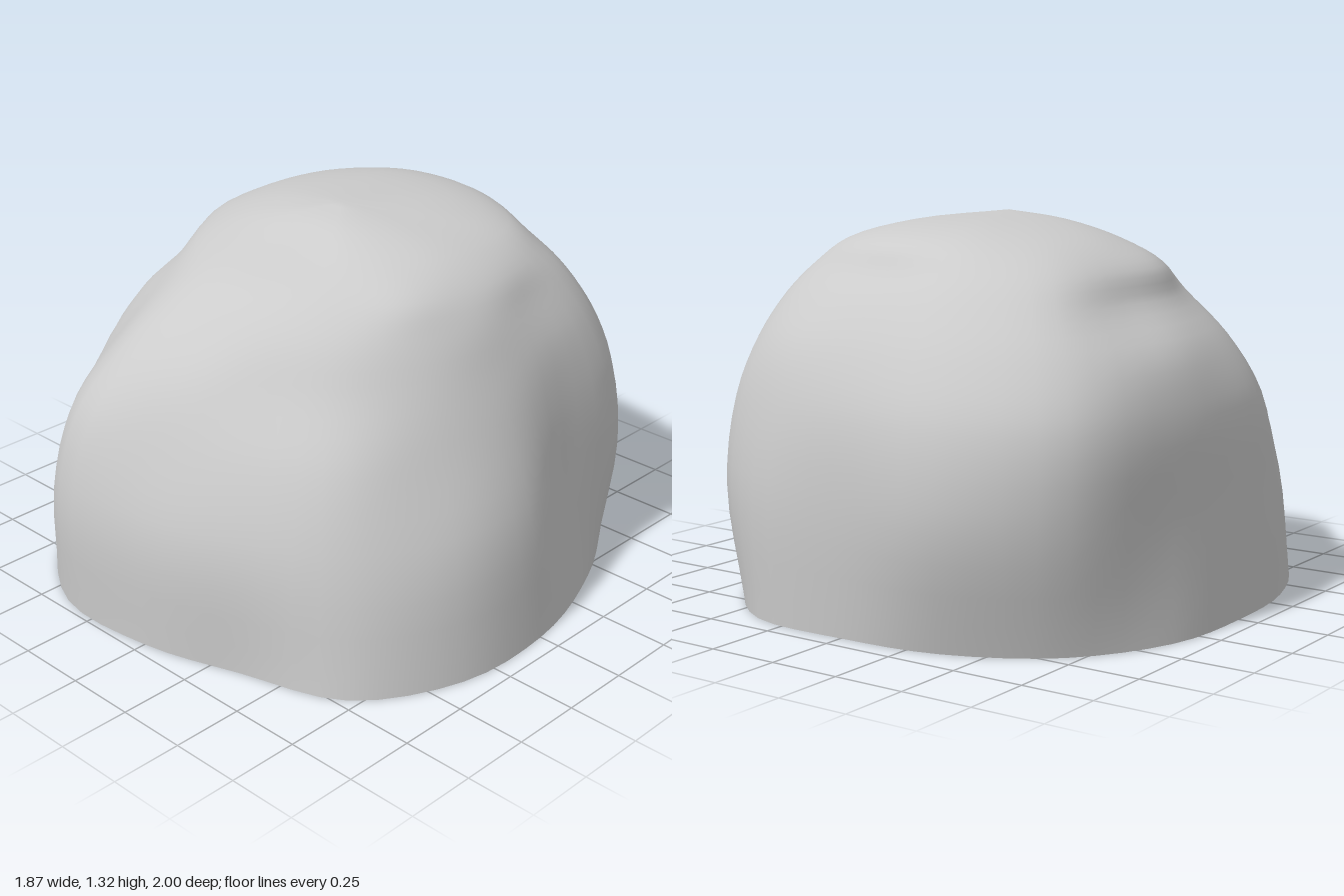
import * as THREE from 'three';

// Horizontal cross-sections: height, then 16 radii going round from +x towards +z
const SECTIONS = [
  [0, [.925, .985, 1.01, .92, .955, 1.04, 1.03, .965, .93, .97, .99, .96, .93, .98, .935, .90]],
  [.4, [.87, .92, .945, .92, .955, 1.05, .985, .93, .91, .96, 1.085, 1.07, .965, .995, .985, .83]],
  [.7, [.77, .78, .83, .82, .86, .975, .88, .885, .89, .96, 1.085, 1.05, .945, .95, .95, .79]],
  [.9, [.69, .68, .69, .69, .755, .82, .74, .77, .80, .89, .99, .955, .87, .88, .87, .74]],
  [1.05, [.625, .60, .59, .585, .605, .645, .61, .62, .66, .72, .86, .84, .77, .77, .77, .66]],
  [1.15, [.55, .53, .48, .465, .47, .49, .50, .54, .61, .66, .75, .74, .675, .67, .67, .60]],
  [1.23, [.43, .38, .33, .28, .26, .29, .33, .39, .46, .53, .60, .63, .61, .59, .56, .48]],
  [1.29, [.23, .20, .17, .14, .13, .14, .17, .20, .25, .30, .36, .42, .42, .40, .33, .26]],
];
const AROUND = 64;
const UP = 32;

// Smooth closed outline of one cross-section
function outline([y, radii]) {
  const points = radii.map((r, k) => {
    const a = (k / radii.length) * Math.PI * 2;
    return new THREE.Vector3(Math.cos(a) * r, y, Math.sin(a) * r);
  });
  return new THREE.CatmullRomCurve3(points, true, 'catmullrom', 0.5);
}

// Smooth dome skin lofted through the outlines up to a single summit point
function rockGeometry() {
  const outlines = SECTIONS.map(outline);
  const summit = new THREE.Vector3(0, 1.32, 0);
  const positions = [];
  const index = [];

  for (let j = 0; j < AROUND; j++) {
    const rib = new THREE.CatmullRomCurve3(
      [...outlines.map((c) => c.getPoint(j / AROUND)), summit], false, 'centripetal');
    for (let i = 0; i < UP; i++) {
      const p = rib.getPoint(i / UP);
      positions.push(p.x, p.y, p.z);
    }
  }
  const top = AROUND * UP;
  positions.push(summit.x, summit.y, summit.z);

  for (let j = 0; j < AROUND; j++) {
    const a = j * UP;
    const b = ((j + 1) % AROUND) * UP;
    for (let i = 0; i < UP - 1; i++) {
      index.push(a + i, a + i + 1, b + i);
      index.push(b + i, a + i + 1, b + i + 1);
    }
    index.push(a + UP - 1, top, b + UP - 1);
  }

  const geometry = new THREE.BufferGeometry();
  geometry.setAttribute('position', new THREE.Float32BufferAttribute(positions, 3));
  geometry.setIndex(index);
  geometry.computeVertexNormals();
  return geometry;
}

export function createModel() {
  const group = new THREE.Group();
  group.name = 'boulder';

  // Open underneath, so the inside is visible too
  const material = new THREE.MeshStandardMaterial({ color: 0xcccccc, side: THREE.DoubleSide });
  const rock = new THREE.Mesh(rockGeometry(), material);
  rock.name = 'rockSurface';
  group.add(rock);
  return group;
}
